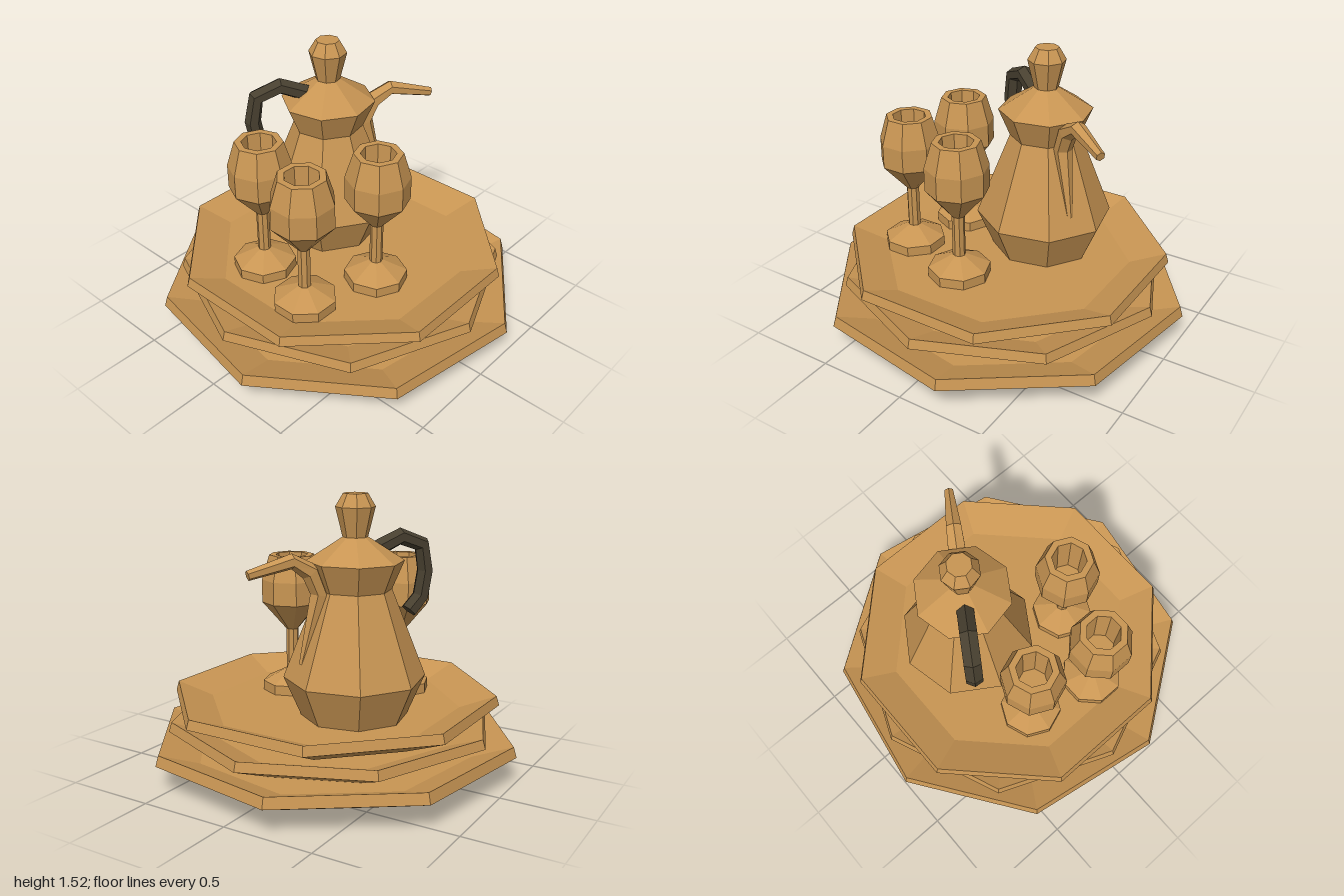
import * as THREE from 'three';

const rad = THREE.MathUtils.degToRad;
const SIDES = 8;

// Eight-sided turned part from [radius, height] pairs, angle measured from +x towards +z
function turned(name, profile, material, degrees = 0) {
  const points = profile.map(([r, y]) => new THREE.Vector2(r, y));
  const mesh = new THREE.Mesh(new THREE.LatheGeometry(points, SIDES), material);
  mesh.name = name;
  mesh.rotation.y = -rad(degrees);
  return mesh;
}

// Tapered bar along [x, y, halfHeight, halfWidth] stations in the xy plane
function swept(name, stations, material, sides = 6) {
  const positions = [];
  const index = [];
  const n = stations.length;
  stations.forEach(([x, y, h, w], i) => {
    const before = stations[Math.max(i - 1, 0)];
    const after = stations[Math.min(i + 1, n - 1)];
    const t = new THREE.Vector2(after[0] - before[0], after[1] - before[1]).normalize();
    for (let j = 0; j < sides; j++) {
      const a = (j / sides) * Math.PI * 2;
      const c = Math.cos(a) * h;
      positions.push(x - t.y * c, y + t.x * c, Math.sin(a) * w);
    }
  });
  for (let i = 0; i < n - 1; i++) {
    for (let j = 0; j < sides; j++) {
      const k = (j + 1) % sides;
      const a = i * sides + j, b = i * sides + k;
      index.push(a, b, a + sides, b, b + sides, a + sides);
    }
  }
  // End caps
  const last = (n - 1) * sides;
  for (let j = 1; j < sides - 1; j++) {
    index.push(0, j + 1, j, last, last + j, last + j + 1);
  }
  const geometry = new THREE.BufferGeometry();
  geometry.setAttribute('position', new THREE.Float32BufferAttribute(positions, 3));
  geometry.setIndex(index);
  geometry.computeVertexNormals();
  const mesh = new THREE.Mesh(geometry, material);
  mesh.name = name;
  return mesh;
}

export function createModel() {
  const brass = new THREE.MeshStandardMaterial({ color: 0xc89553, flatShading: true });
  brass.name = 'brass';
  const dark = new THREE.MeshStandardMaterial({ color: 0x484030, flatShading: true });
  dark.name = 'dark handle';

  const model = new THREE.Group();
  model.name = 'coffeeSet';

  // Stack of three shallow trays with rims leaning in, each turned a little
  const tray = [[0, 0], [0.7, 0], [1.025, 0.142], [1.008, 0.2], [0.785, 0.117], [0, 0.117]];
  [
    ['bottomTray', 1, 0, -12.8],
    ['middleTray', 0.89, 0.119, 0],
    ['topTray', 0.89, 0.246, 22.5],
  ].forEach(([name, scale, y, turn]) => {
    const mesh = turned(name, tray.map(([r, h]) => [r * scale, h * scale]), brass, turn);
    mesh.position.y = y;
    model.add(mesh);
  });

  const floor = 0.35;

  // Three goblets with hollow bowls
  const goblet = [
    [0, floor], [0.171, floor], [0.171, 0.405], [0.035, 0.475], [0.035, 0.71],
    [0.171, 0.87], [0.171, 1.0], [0.128, 1.14], [0.092, 1.14], [0.08, 0.88], [0, 0.88],
  ];
  [[-0.41, -0.197, 3], [-0.497, 0.193, 22.5], [-0.088, 0.332, 3]].forEach(([x, z, turn], i) => {
    const mesh = turned('goblet' + (i + 1), goblet, brass, turn);
    mesh.position.set(x, 0, z);
    model.add(mesh);
  });

  // Pot, with its spout along local +x and its handle along -x
  const pot = new THREE.Group();
  pot.name = 'pot';
  pot.position.set(0.123, 0, -0.207);
  pot.rotation.y = -rad(32.8);
  pot.add(turned('potBody', [
    [0, floor], [0.285, floor], [0.377, 0.562], [0.194, 1.03], [0.258, 1.18],
  ], brass, 22.5));
  pot.add(turned('potLid', [
    [0.258, 1.18], [0.066, 1.303], [0.104, 1.457], [0.064, 1.525], [0, 1.525],
  ], brass, 22.5));
  pot.add(swept('spout', [
    [0.305, 0.66, 0.016, 0.018], [0.205, 1.02, 0.05, 0.05], [0.255, 1.14, 0.05, 0.052],
    [0.355, 1.2, 0.04, 0.045], [0.59, 1.145, 0.026, 0.026],
  ], brass));
  pot.add(swept('handle', [
    [-0.12, 1.23, 0.045, 0.05], [-0.265, 1.29, 0.045, 0.05], [-0.395, 1.24, 0.045, 0.05],
    [-0.42, 1.1, 0.045, 0.05], [-0.395, 0.96, 0.045, 0.05], [-0.325, 0.885, 0.045, 0.05],
  ], dark));
  model.add(pot);

  return model;
}
